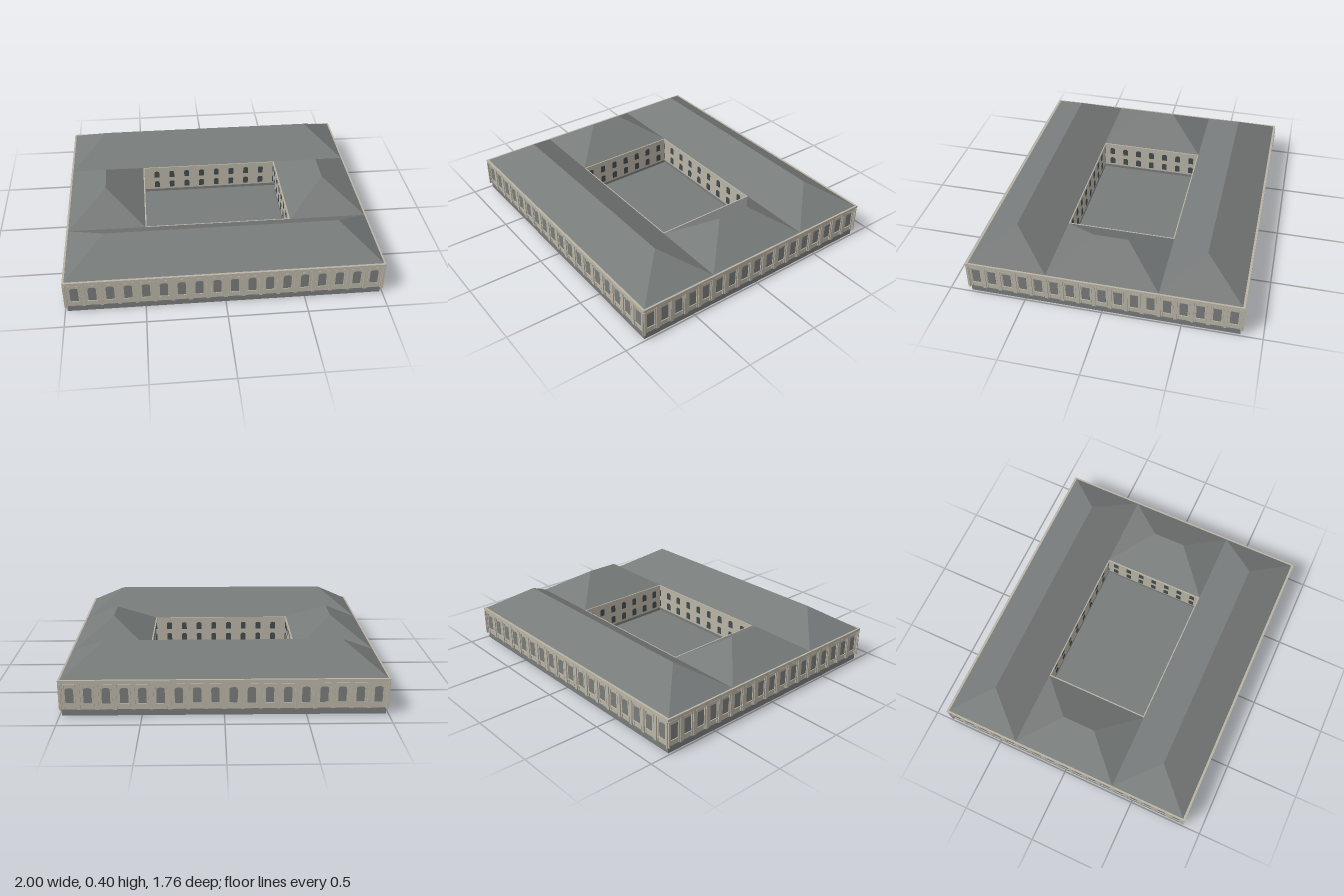
import * as THREE from 'three';
import { mergeGeometries } from 'three/addons/utils/BufferGeometryUtils.js';

const mat = (name, color) => {
  const m = new THREE.MeshStandardMaterial({ color });
  m.name = name;
  return m;
};

// Box from its ranges on each axis
const box = (x0, x1, y0, y1, z0, z1) =>
  new THREE.BoxGeometry(x1 - x0, y1 - y0, z1 - z0)
    .translate((x0 + x1) / 2, (y0 + y1) / 2, (z0 + z1) / 2);

// Window pane with an optional low arch, running through the wall
function pane(x, y0, y1, w, rise, z0, z1) {
  const s = new THREE.Shape();
  s.moveTo(-w / 2, y0);
  s.lineTo(w / 2, y0);
  s.lineTo(w / 2, y1 - rise);
  if (rise > 0) s.quadraticCurveTo(w / 2, y1, 0, y1);
  else s.lineTo(w / 2, y1);
  if (rise > 0) s.quadraticCurveTo(-w / 2, y1, -w / 2, y1 - rise);
  else s.lineTo(-w / 2, y1);
  s.closePath();
  return new THREE.ExtrudeGeometry(s, { depth: z1 - z0, bevelEnabled: false, curveSegments: 4 })
    .translate(x, 0, z0);
}

// Hipped roof over a rectangle with its ridge along x
function hipRoof(length, width, ridge, y0, y1) {
  const a = length / 2, b = width / 2, r = ridge / 2;
  const A = [-a, y0, b], B = [a, y0, b], C = [a, y0, -b], D = [-a, y0, -b];
  const E = [-r, y1, 0], F = [r, y1, 0];
  const tris = [A, B, F, A, F, E, C, D, E, C, E, F, B, C, F, D, A, E];
  const g = new THREE.BufferGeometry();
  g.setAttribute('position', new THREE.Float32BufferAttribute(tris.flat(), 3));
  g.computeVertexNormals();
  return g;
}

export function createModel() {
  const root = new THREE.Group();
  root.name = 'courtyardBuilding';
  const stone = mat('stone', 0xb9b3a5);
  const slate = mat('slate', 0x777b7a);
  const courtGlass = mat('dark glass', 0x434b4e);

  const add = (parent, name, geos, material) => {
    const mesh = new THREE.Mesh(mergeGeometries(geos.map(g => (g.index ? g.toNonIndexed() : g))), material);
    mesh.name = name;
    parent.add(mesh);
    return mesh;
  };
  const place = (name, x, z, angle) => {
    const g = new THREE.Group();
    g.name = name;
    g.position.set(x, 0, z);
    g.rotation.y = angle;
    root.add(g);
    return g;
  };

  // Street wall: thin wall, pilasters, framed windows and plinth, facing local +z
  function streetWall(name, x, z, angle, length, n, pitch, rise) {
    const g = place(name, x, z, angle);
    const h = length / 2;
    const trim = [], glass = [];
    for (let i = 0; i <= n; i++) {
      const px = (i - n / 2) * pitch;
      trim.push(box(px - 0.011, px + 0.011, 0.04, 0.212, 0, 0.009));
    }
    for (let i = 0; i < n; i++) {
      const c = (i - (n - 1) / 2) * pitch;
      for (const s of [-1, 1]) {
        const m = c + s * 0.033;
        trim.push(box(m - 0.005, m + 0.005, 0.045, 0.2, 0, 0.006));
      }
      trim.push(box(c - 0.038, c + 0.038, 0.197, 0.205, 0, 0.008));
      trim.push(box(c - 0.03, c + 0.03, 0.073, 0.08, 0, 0.007));
      glass.push(pane(c, 0.08, 0.18, 0.05, rise, -0.012, 0.002));
    }
    add(g, 'wall', [box(-h, h, 0.04, 0.212, -0.01, 0)], stone);
    add(g, 'pilastersAndFrames', trim, stone);
    add(g, 'windows', glass, slate);
    add(g, 'plinth', [box(-h, h, 0, 0.04, -0.01, 0.001)], slate);
  }

  // Courtyard wall: plain, with two rows of small arched windows
  function courtWall(name, x, z, angle, length, n, pitch) {
    const g = place(name, x, z, angle);
    const h = length / 2;
    const glass = [];
    for (let i = 0; i < n; i++) {
      const c = (i - (n - 1) / 2) * pitch;
      for (const y of [0.055, 0.14]) glass.push(pane(c, y, y + 0.052, 0.036, 0.012, -0.012, 0.002));
    }
    add(g, 'wall', [box(-h, h, 0.04, 0.212, -0.01, 0)], stone);
    add(g, 'windows', glass, courtGlass);
    add(g, 'plinth', [box(-h, h, 0, 0.04, -0.01, 0.001)], slate);
  }

  const P = Math.PI;
  streetWall('frontWall', 0, 0.86, 0, 1.97, 18, 0.11, 0.014);
  streetWall('backWall', 0, -0.86, P, 1.97, 18, 0.11, 0.014);
  streetWall('leftWall', 0.985, 0, P / 2, 1.72, 17, 0.102, 0);
  streetWall('rightWall', -0.985, 0, -P / 2, 1.72, 17, 0.102, 0);
  courtWall('courtFrontWall', 0, 0.36, P, 1.95, 18, 0.11);
  courtWall('courtBackWall', 0, -0.36, 0, 1.95, 18, 0.11);
  courtWall('courtLeftWall', 0.485, 0, -P / 2, 0.72, 7, 0.1);
  courtWall('courtRightWall', -0.485, 0, P / 2, 0.72, 7, 0.1);

  // Cornice ring that also closes the wings below the roofs
  const rect = (T, x, z) => {
    const s = new T();
    s.moveTo(-x, -z);
    s.lineTo(x, -z);
    s.lineTo(x, z);
    s.lineTo(-x, z);
    s.closePath();
    return s;
  };
  const ring = (x, z, ix, iz, y0, y1) => {
    const s = rect(THREE.Shape, x, z);
    s.holes.push(rect(THREE.Path, ix, iz));
    return new THREE.ExtrudeGeometry(s, { depth: y1 - y0, bevelEnabled: false })
      .rotateX(-P / 2).translate(0, y0, 0);
  };
  add(root, 'cornice', [
    ring(0.995, 0.87, 0.48, 0.354, 0.208, 0.216),
    ring(1, 0.875, 0.474, 0.348, 0.216, 0.233),
  ], stone);

  // Hipped roofs over the long and the short wings
  for (const s of [-1, 1]) {
    const long = add(root, s > 0 ? 'frontRoof' : 'backRoof', [hipRoof(1.976, 0.505, 1.485, 0.233, 0.395)], slate);
    long.position.z = s * 0.6075;
    const short = add(root, s > 0 ? 'leftRoof' : 'rightRoof', [hipRoof(0.71, 0.506, 0.22, 0.233, 0.395)], slate);
    short.rotation.y = P / 2;
    short.position.x = s * 0.735;
  }

  // Courtyard paving
  add(root, 'courtyardFloor', [box(-0.485, 0.485, 0.005, 0.02, -0.36, 0.36)], slate);
  return root;
}
